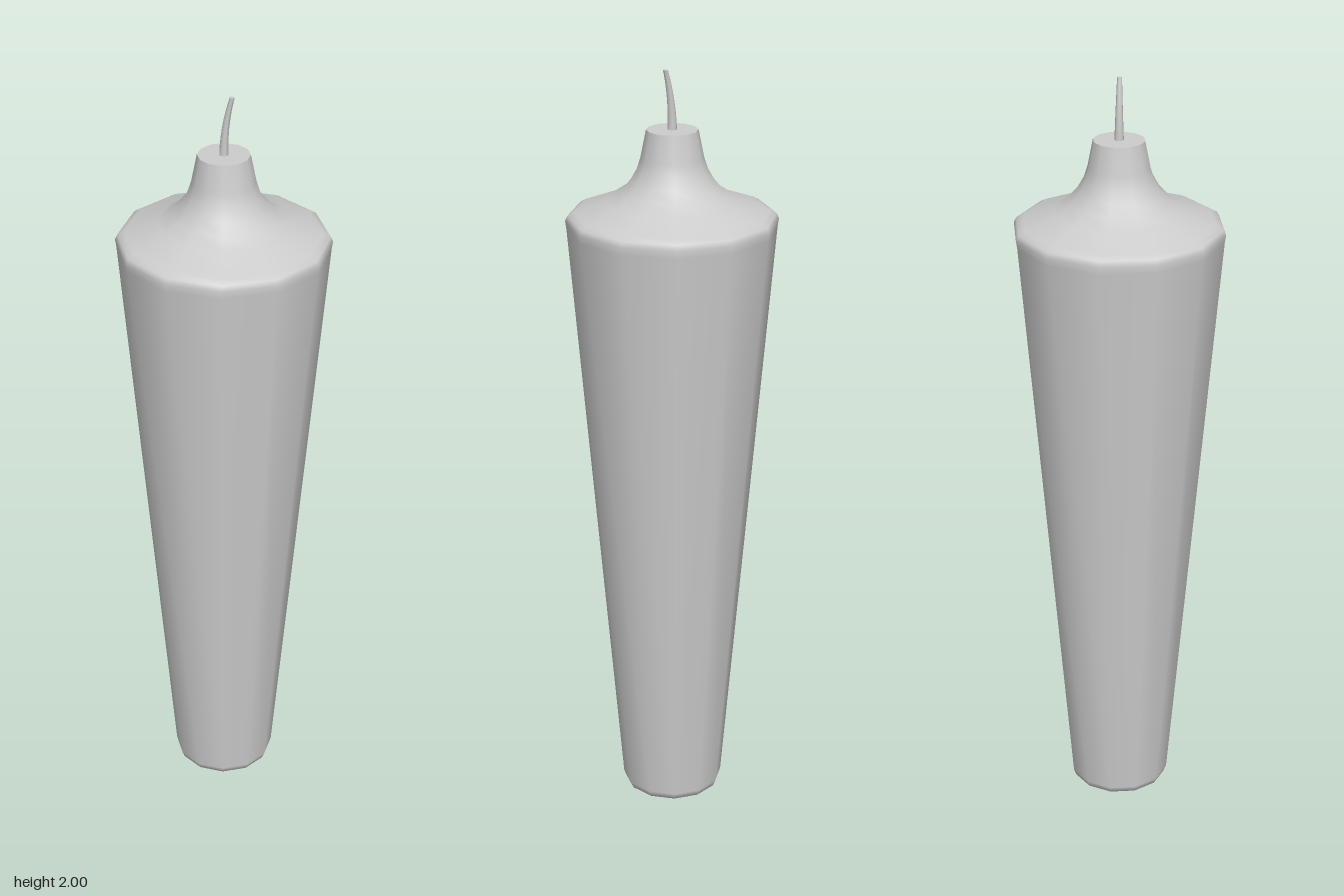
import * as THREE from 'three';

const SIDES = 12;

function lathe(name, profile, material) {
  const points = profile.map(([r, y]) => new THREE.Vector2(r, y));
  const mesh = new THREE.Mesh(new THREE.LatheGeometry(points, SIDES), material);
  mesh.name = name;
  return mesh;
}

export function createModel() {
  const group = new THREE.Group();
  group.name = 'candle';
  const wax = new THREE.MeshStandardMaterial({ color: 0xcccccc });
  wax.name = 'pale grey wax';

  // Tapered body with a rounded foot, sloping shoulder and narrow neck
  group.add(lathe('body', [
    [0, 0], [0.11, 0.002], [0.127, 0.012], [0.134, 0.03],
    [0.265, 1.6], [0.268, 1.62], [0.262, 1.633], [0.245, 1.642],
    [0.165, 1.672], [0.13, 1.695], [0.105, 1.722], [0.088, 1.752], [0.079, 1.78],
    [0.065, 1.85],
  ], wax));

  // Flat top of the neck, kept separate for a sharp rim
  group.add(lathe('neckTop', [[0.065, 1.85], [0, 1.85]], wax));

  // Thin tapering wick, bent towards the front left
  const height = 0.16;
  const wickGeometry = new THREE.CylinderGeometry(0.006, 0.012, height, 8, 6);
  wickGeometry.translate(0, height / 2, 0);
  const p = wickGeometry.attributes.position;
  for (let i = 0; i < p.count; i++) {
    const t = p.getY(i) / height;
    const bend = t * t * 1.15 - t * 0.15;
    p.setX(i, p.getX(i) + 0.013 * bend);
    p.setZ(i, p.getZ(i) + 0.017 * bend);
  }
  wickGeometry.computeVertexNormals();
  const wick = new THREE.Mesh(wickGeometry, wax);
  wick.name = 'wick';
  wick.position.y = 2 - height;
  group.add(wick);

  return group;
}
